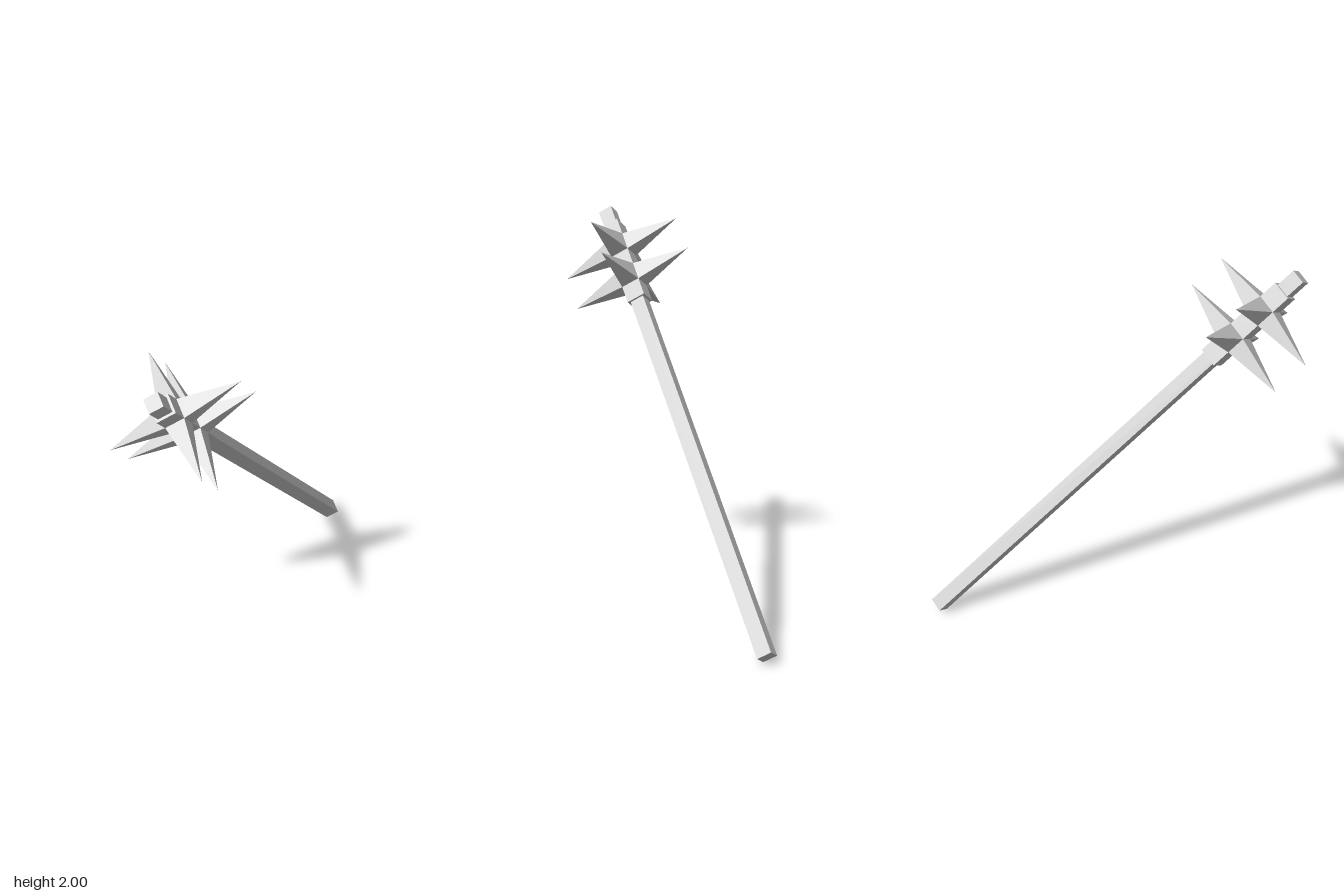
import * as THREE from 'three';

const material = new THREE.MeshStandardMaterial({ color: 0xcccccc, flatShading: true });

function addBar(parent, name, width, from, to) {
  const mesh = new THREE.Mesh(new THREE.BoxGeometry(width, to - from, width), material);
  mesh.name = name;
  mesh.position.y = (from + to) / 2;
  parent.add(mesh);
}

export function createModel() {
  const model = new THREE.Group();
  model.name = 'spikedMace';

  // The weapon is built upright along y, from its butt end, then tilted as a whole
  const mace = new THREE.Group();
  mace.name = 'mace';
  model.add(mace);

  const half = 0.05; // half width of the head block and spike bases
  addBar(mace, 'shaft', 0.075, 0, 2.673);
  addBar(mace, 'headBlock', half * 2, 2.07, 2.57);

  // Square pyramid whose base matches a face of the head block
  const spikeLength = 0.297;
  const spikeGeometry = new THREE.ConeGeometry(half * Math.SQRT2, spikeLength, 4);
  spikeGeometry.rotateY(Math.PI / 4);
  spikeGeometry.translate(0, half + spikeLength / 2, 0);
  spikeGeometry.rotateZ(-Math.PI / 2);

  // Two rings of four spikes
  for (const height of [2.22, 2.42]) {
    const ring = new THREE.Group();
    ring.name = 'spikeRing';
    ring.position.y = height;
    for (let i = 0; i < 4; i++) {
      const spike = new THREE.Mesh(spikeGeometry, material);
      spike.name = 'spike';
      spike.rotation.y = (i * Math.PI) / 2;
      ring.add(spike);
    }
    mace.add(ring);
  }

  // Tilt: shaft axis and the direction of one spike fix the orientation
  const axis = new THREE.Vector3(-0.507, 0.7195, 0.475).normalize();
  const side = new THREE.Vector3(0.854, 0.492, 0.174);
  side.addScaledVector(axis, -side.dot(axis)).normalize();
  const front = new THREE.Vector3().crossVectors(side, axis);
  mace.quaternion.setFromRotationMatrix(new THREE.Matrix4().makeBasis(side, axis, front));
  mace.position.set(0.747, 0.037, -0.7125);

  return model;
}
